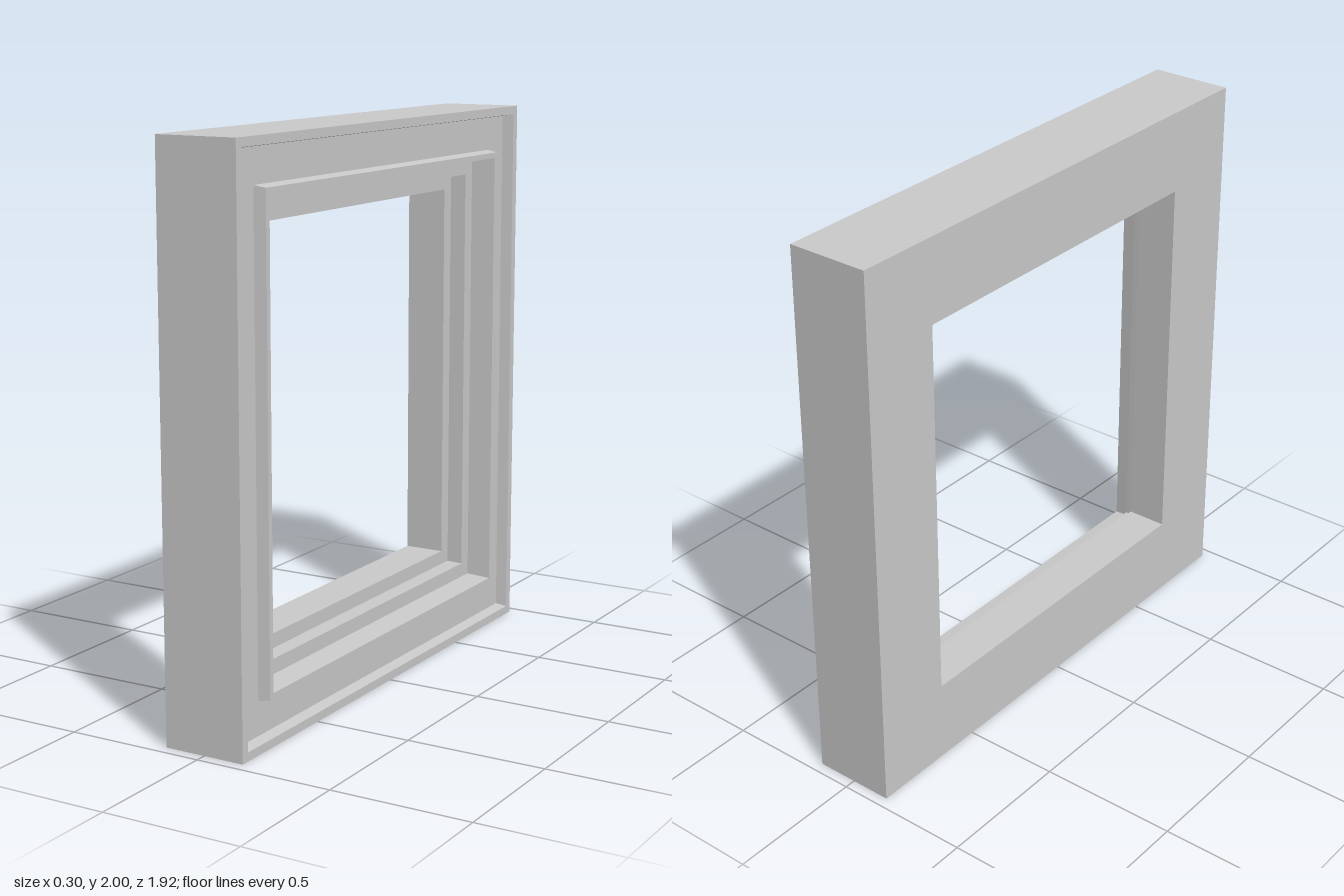
import * as THREE from 'three';

const HALF_Z = 0.96, HALF_Y = 1.0;
// Corner signs [z, y], counter-clockwise when looking at the moulded +x face
const CORNERS = [[1, -1], [-1, -1], [-1, 1], [1, 1]];

// Sweeps a profile of [inset from outer edge, x] round the frame with mitred corners
function sweepFrame(name, profile, material) {
  const positions = [];
  const corner = ([inset, x], i) => {
    const [sz, sy] = CORNERS[i % 4];
    return [x, 1 + sy * (HALF_Y - inset), sz * (HALF_Z - inset)];
  };
  for (let p = 0; p < profile.length - 1; p++) {
    for (let i = 0; i < 4; i++) {
      const a = corner(profile[p], i), b = corner(profile[p], i + 1);
      const c = corner(profile[p + 1], i + 1), d = corner(profile[p + 1], i);
      positions.push(...a, ...b, ...c, ...a, ...c, ...d);
    }
  }
  const geometry = new THREE.BufferGeometry();
  geometry.setAttribute('position', new THREE.Float32BufferAttribute(positions, 3));
  geometry.computeVertexNormals();
  const mesh = new THREE.Mesh(geometry, material);
  mesh.name = name;
  return mesh;
}

export function createModel() {
  const group = new THREE.Group();
  group.name = 'windowFrame';
  const material = new THREE.MeshStandardMaterial({ color: 0xcccccc });

  const parts = {
    // Opening, flat back and outer sides
    frameBody: [[0.3, 0], [0.3, -0.15], [0, -0.15], [0, 0.15]],
    // Raised lip round the outside edge
    outerRim: [[0, 0.15], [0.031, 0.15], [0.038, 0.108]],
    // Recessed flat face
    facePanel: [[0.038, 0.108], [0.158, 0.108]],
    // Raised bead round the opening
    innerBead: [[0.158, 0.108], [0.165, 0.15], [0.185, 0.15], [0.193, 0.06]],
    // Two rebates stepping down into the opening
    rebateSteps: [[0.193, 0.06], [0.246, 0.06], [0.248, 0], [0.3, 0]],
  };
  for (const [name, profile] of Object.entries(parts)) {
    group.add(sweepFrame(name, profile, material));
  }
  return group;
}
